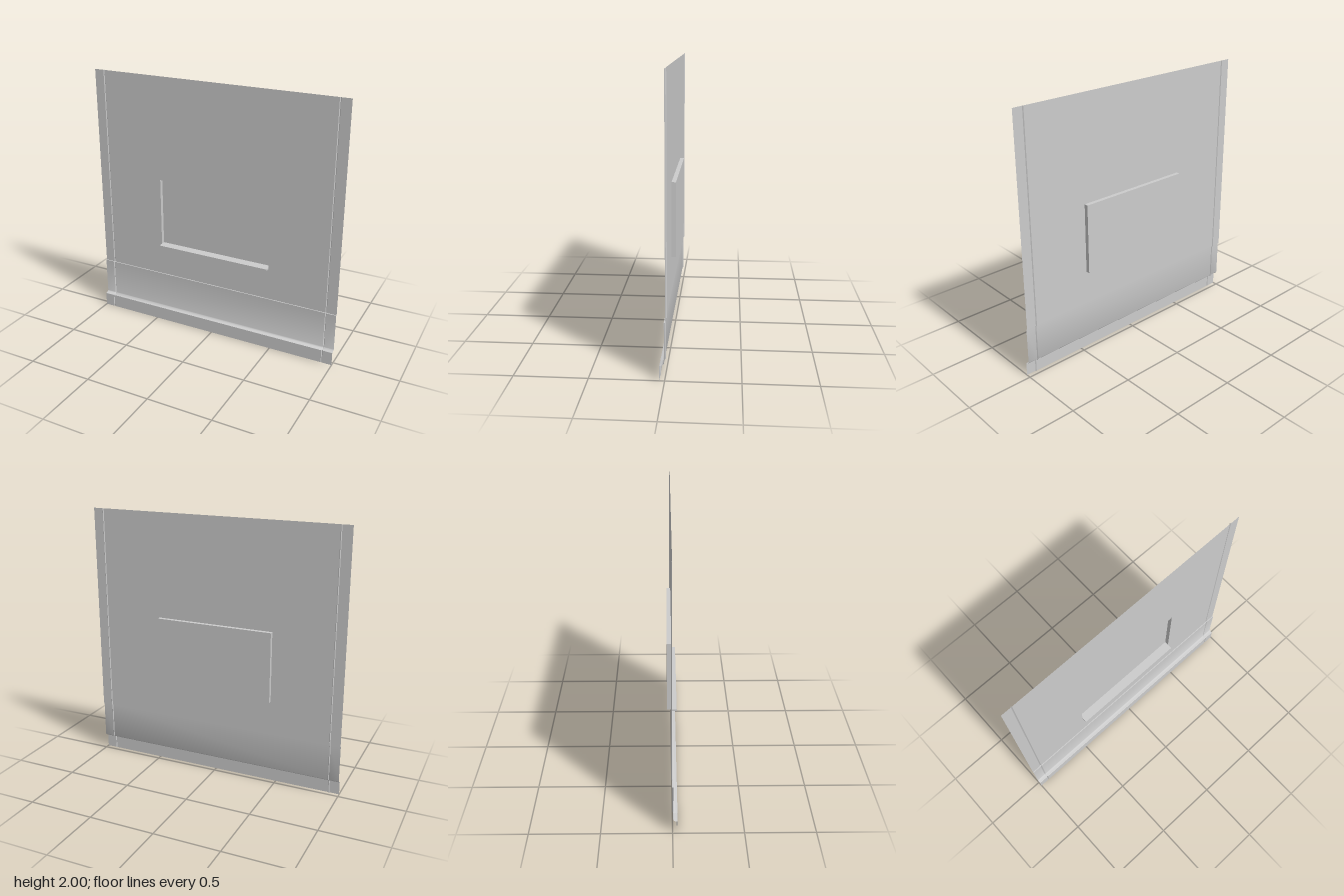
import * as THREE from 'three';
import { toCreasedNormals } from 'three/addons/utils/BufferGeometryUtils.js';

const material = new THREE.MeshStandardMaterial({ color: 0xcccccc, side: THREE.DoubleSide });
const WALL_Z = -0.004, DADO_Z = 0.004, BASE_Z = 0.035;

function mesh(name, geometry) {
  const m = new THREE.Mesh(geometry, material);
  m.name = name;
  return m;
}

// Sweeps a [y, z] profile, bottom to top, along columns of [x, z offset]
function sweep(profile, columns) {
  const positions = [];
  const corner = ([y, z], [x, dz]) => [x, y, z + dz];
  for (let i = 0; i < profile.length - 1; i++) {
    for (let j = 0; j < columns.length - 1; j++) {
      const a = corner(profile[i], columns[j]);
      const b = corner(profile[i], columns[j + 1]);
      const c = corner(profile[i + 1], columns[j + 1]);
      const d = corner(profile[i + 1], columns[j]);
      positions.push(...a, ...b, ...c, ...a, ...c, ...d);
    }
  }
  const g = new THREE.BufferGeometry();
  g.setAttribute('position', new THREE.Float32BufferAttribute(positions, 3));
  return toCreasedNormals(g, 0.6);
}

function rectangle(Type, x, y0, y1) {
  return new Type([[-x, y0], [x, y0], [x, y1], [-x, y1]].map(p => new THREE.Vector2(...p)));
}

export function createModel() {
  const group = new THREE.Group();
  group.name = 'wallPanel';

  // Narrow vertical V-groove near each edge
  const groove = [[0.915, 0], [0.92, -0.006], [0.925, 0]];
  const right = [[-1, 0], ...groove.map(([x, z]) => [-x, z]).reverse()];
  const left = [...groove, [1, 0]];

  // Skirting with a concave top running into the dado and its small ledge
  const lower = [[0, BASE_Z], [0.104, BASE_Z]];
  for (let i = 0; i <= 6; i++) {
    const a = (i / 6) * Math.PI / 2;
    lower.push([0.125 - 0.019 * Math.cos(a), 0.031 - 0.027 * Math.sin(a)]);
  }
  lower.push([0.404, DADO_Z], [0.404, WALL_Z]);
  group.add(mesh('skirtingAndDado', sweep(lower, [...right, ...left])));

  // Grooved side strips of the upper wall
  const upper = [[0.404, WALL_Z], [2, WALL_Z]];
  group.add(mesh('rightWallStrip', sweep(upper, right)));
  group.add(mesh('leftWallStrip', sweep(upper, left)));

  // Upper wall with the recess opening
  const W = 0.457, Y0 = 0.665, Y1 = 1.2, BACK = -0.035;
  const wall = rectangle(THREE.Shape, 0.915, 0.404, 2);
  wall.holes.push(rectangle(THREE.Path, W, Y0, Y1));
  group.add(mesh('wall', new THREE.ShapeGeometry(wall).translate(0, 0, WALL_Z)));

  // Recess: four reveals and a back pane
  const depth = WALL_Z - BACK, midY = (Y0 + Y1) / 2, midZ = (WALL_Z + BACK) / 2;
  for (const s of [-1, 1]) {
    const side = new THREE.PlaneGeometry(depth, Y1 - Y0).rotateY(-s * Math.PI / 2);
    group.add(mesh(s < 0 ? 'rightReveal' : 'leftReveal', side.translate(s * W, midY, midZ)));
    const flat = new THREE.PlaneGeometry(2 * W, depth).rotateX(s * Math.PI / 2);
    group.add(mesh(s < 0 ? 'bottomReveal' : 'topReveal', flat.translate(0, s < 0 ? Y0 : Y1, midZ)));
  }
  group.add(mesh('recessPane', new THREE.PlaneGeometry(2 * W, Y1 - Y0).translate(0, midY, BACK)));

  // Projecting sill
  const sill = new THREE.BoxGeometry(2 * W, 0.014, BASE_Z - WALL_Z);
  group.add(mesh('sill', sill.translate(0, Y0 - 0.007, (BASE_Z + WALL_Z) / 2)));

  return group;
}
